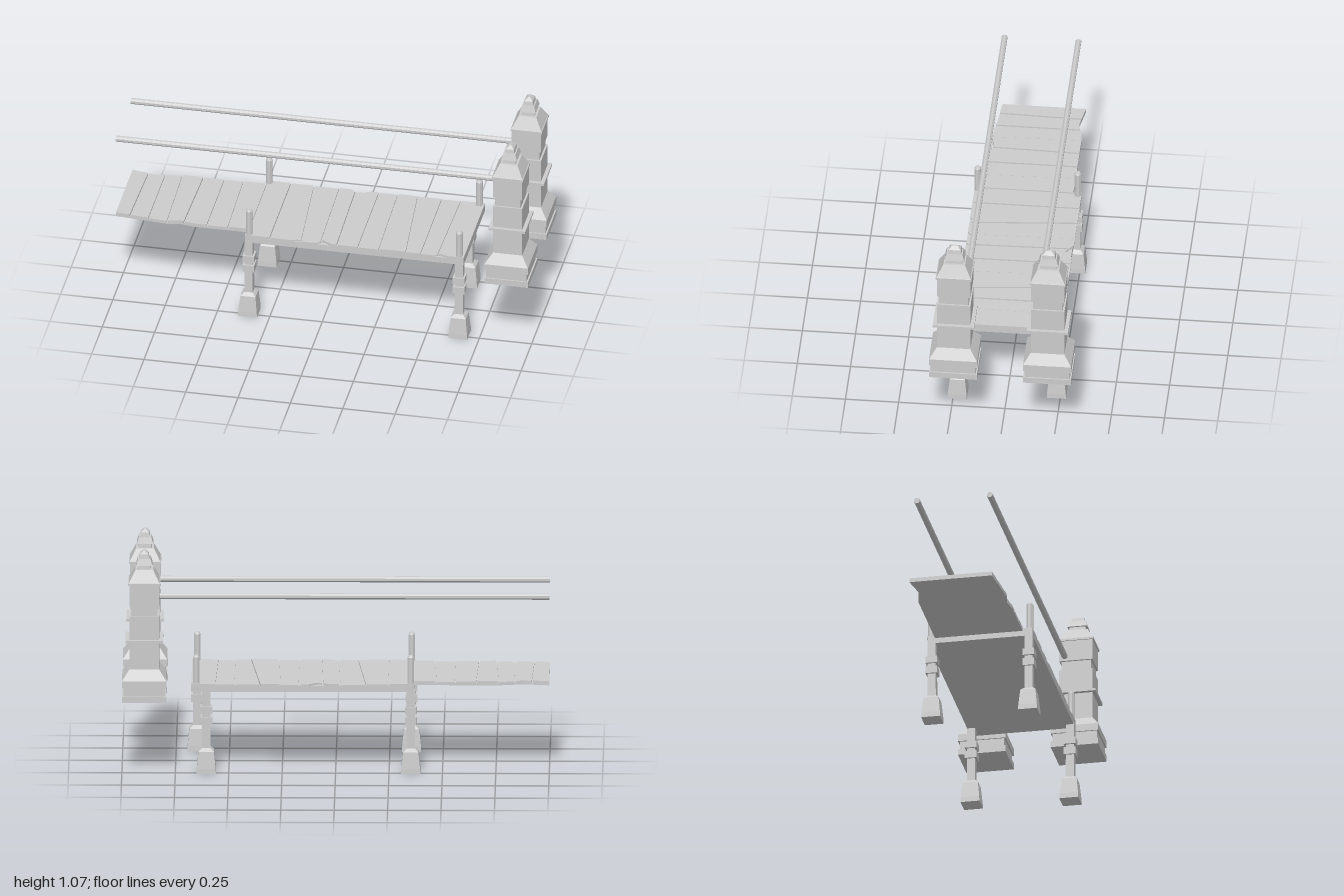
import * as THREE from 'three';

const material = new THREE.MeshStandardMaterial({ color: 0xcccccc, flatShading: true });

function addMesh(parent, geometry, name) {
  const flat = geometry.index ? geometry.toNonIndexed() : geometry;
  flat.computeVertexNormals();
  const mesh = new THREE.Mesh(flat, material);
  mesh.name = name;
  parent.add(mesh);
  return mesh;
}

// Square stepped column from [half width, height] pairs; trimX narrows it along x
function squareColumn(profile, trimX = 0) {
  const points = profile.map(([h, y]) => new THREE.Vector2(h * Math.SQRT2, y));
  const geometry = new THREE.LatheGeometry(points, 4).rotateY(Math.PI / 4);
  const p = geometry.attributes.position;
  for (let i = 0; i < p.count; i++) {
    const x = p.getX(i);
    p.setX(i, Math.sign(x) * Math.max(0, Math.abs(x) - trimX));
  }
  return geometry;
}

// Flat slab from an [x, z] outline between two heights
function slab(outline, bottom, top) {
  const shape = new THREE.Shape(outline.map(([x, z]) => new THREE.Vector2(x, -z)));
  return new THREE.ExtrudeGeometry(shape, { depth: top - bottom, bevelEnabled: false })
    .rotateX(-Math.PI / 2).translate(0, bottom, 0);
}

// Height of a polyline of [x, z] points at x
function edgeAt(line, x) {
  for (let i = 1; i < line.length; i++) {
    const [x0, z0] = line[i - 1], [x1, z1] = line[i];
    if (x <= x1) return z0 + (z1 - z0) * (x - x0) / (x1 - x0);
  }
  return line[line.length - 1][1];
}

// Row of planks between seams [xBack, xFront]; edges follow the ragged side lines
function addPlanks(parent, seams, back, front, bottom, top) {
  const gap = 0.003;
  const inside = (line, a, b) => line.filter(([x]) => x > a + 0.001 && x < b - 0.001);
  for (let i = 0; i < seams.length - 1; i++) {
    const a = seams[i].map((x) => x + (i ? gap : 0));
    const b = seams[i + 1].map((x) => x - (i < seams.length - 2 ? gap : 0));
    const outline = [
      [a[0], edgeAt(back, a[0])],
      [a[1], edgeAt(front, a[1])],
      ...inside(front, a[1], b[1]),
      [b[1], edgeAt(front, b[1])],
      [b[0], edgeAt(back, b[0])],
      ...inside(back, a[0], b[0]).reverse(),
    ];
    addMesh(parent, slab(outline, bottom, top - 0.002 * (i % 3)), 'plank');
  }
}

function createTower(name, x, z) {
  const group = new THREE.Group();
  group.name = name;
  group.position.set(x, 0, z);
  const profile = [
    [0, 0.355], [0.113, 0.355], [0.113, 0.385], [0.106, 0.385], [0.106, 0.425],
    [0.113, 0.425], [0.113, 0.46], [0.079, 0.508],                    // plinth and flare
    [0.079, 0.638], [0.097, 0.638], [0.097, 0.65], [0.079, 0.65],     // middle ledge
    [0.079, 0.762], [0.07, 0.762], [0.07, 0.81], [0.079, 0.81],       // recessed neck
    [0.079, 0.912], [0.084, 0.912], [0.084, 0.922], [0.08, 0.924],    // eave
    [0.051, 0.98], [0.04, 0.98], [0.038, 1.0], [0.047, 1.0],          // tiered roof
    [0.038, 1.03], [0.032, 1.03], [0.029, 1.05], [0.012, 1.066], [0, 1.066],
  ];
  addMesh(group, squareColumn(profile, 0.009), 'towerBody');
  return group;
}

function createLeg(name, x, z) {
  const group = new THREE.Group();
  group.name = name;
  group.position.set(x, 0, z);
  const profile = [
    [0, 0], [0.045, 0], [0.044, 0.025], [0.036, 0.105], [0.02, 0.12],  // foot
    [0.019, 0.234], [0.028, 0.234], [0.028, 0.27], [0.019, 0.27],      // lower collar
    [0.019, 0.287], [0.028, 0.287], [0.028, 0.32], [0.019, 0.32],      // upper collar
    [0.019, 0.4], [0, 0.4],
  ];
  addMesh(group, squareColumn(profile), 'legColumn');
  return group;
}

// Short bollard with a chamfered top
function createPost(parent, x, z) {
  const profile = [[0, 0.4], [0.016, 0.4], [0.016, 0.555], [0.01, 0.565], [0, 0.565]];
  const geometry = new THREE.LatheGeometry(profile.map((p) => new THREE.Vector2(...p)), 8);
  addMesh(parent, geometry.rotateY(Math.PI / 8).translate(x, 0, z), 'deckPost');
}

export function createModel() {
  const model = new THREE.Group();
  model.name = 'footbridge';

  // Gate towers and handrails
  for (const [side, s] of [['front', 1], ['back', -1]]) {
    model.add(createTower(side + 'Tower', 0.895, 0.221 * s));
    const rail = new THREE.CylinderGeometry(0.0145, 0.0145, 1.83, 8)
      .rotateY(Math.PI / 8).rotateZ(Math.PI / 2)
      .translate(-0.085, 0.834, s > 0 ? 0.168 : -0.179);
    addMesh(model, rail, side + 'Handrail');
  }

  // Legs and bollards
  model.add(createLeg('frontRightLeg', -0.352, 0.23));
  model.add(createLeg('frontLeftLeg', 0.652, 0.23));
  model.add(createLeg('backRightLeg', -0.352, -0.232));
  model.add(createLeg('backLeftLeg', 0.605, -0.232));
  for (const x of [-0.352, 0.652]) {
    createPost(model, x, 0.233);
    createPost(model, x, -0.238);
  }

  // Main deck with skewed planks and chipped edges
  const deck = new THREE.Group();
  deck.name = 'mainDeck';
  model.add(deck);
  addMesh(deck, slab([[-0.37, -0.25], [-0.37, 0.248], [0.675, 0.248], [0.675, -0.25]], 0.39, 0.42), 'deckBase');
  const deckSeams = [
    [-0.37, -0.37], [-0.25, -0.25], [-0.14, -0.1], [-0.02, -0.01], [0.06, 0.07], [0.17, 0.17],
    [0.26, 0.27], [0.355, 0.4], [0.47, 0.47], [0.56, 0.55], [0.675, 0.675],
  ];
  const deckBack = [[-0.37, -0.255], [0.035, -0.255], [0.08, -0.22], [0.125, -0.255], [0.675, -0.255]];
  const deckFront = [
    [-0.37, 0.248], [-0.15, 0.248], [-0.12, 0.238], [-0.09, 0.248], [-0.03, 0.248], [0, 0.225],
    [0.04, 0.248], [0.53, 0.248], [0.56, 0.235], [0.6, 0.248], [0.675, 0.248],
  ];
  addPlanks(deck, deckSeams, deckBack, deckFront, 0.418, 0.43);

  // Narrower walkway with ragged edges
  const walkway = new THREE.Group();
  walkway.name = 'walkway';
  model.add(walkway);
  const walkBack = [[-1, -0.215], [-0.88, -0.194], [-0.77, -0.216], [-0.36, -0.216]];
  const walkFront = [[-1, 0.178], [-0.75, 0.201], [-0.69, 0.19], [-0.62, 0.201], [-0.36, 0.201]];
  addMesh(walkway, slab([...walkFront, ...[...walkBack].reverse()], 0.416, 0.426), 'walkwayBase');
  const walkSeams = [
    [-1, -1], [-0.92, -0.93], [-0.84, -0.84], [-0.76, -0.75], [-0.66, -0.67],
    [-0.56, -0.56], [-0.47, -0.46], [-0.36, -0.36],
  ];
  addPlanks(walkway, walkSeams, walkBack, walkFront, 0.425, 0.436);

  return model;
}
